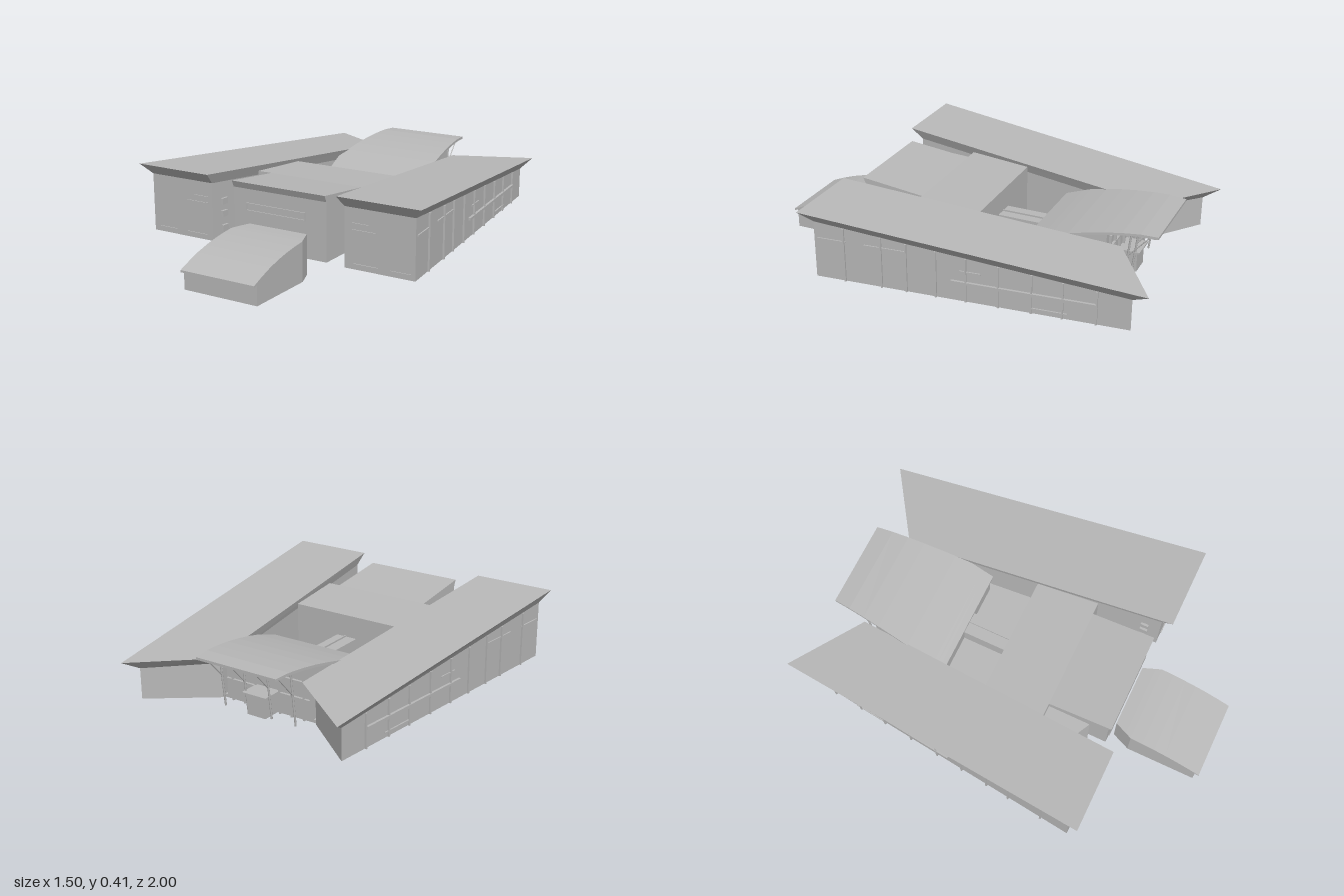
import * as THREE from 'three';
import { mergeGeometries } from 'three/addons/utils/BufferGeometryUtils.js';

const concrete = new THREE.MeshStandardMaterial({ color: 0xb8b8b8 });
concrete.name = 'concreteGrey';

const BASE = 0.07;

// Closed solid between two plan outlines ([x, z] points); heights are numbers or functions of z
function loftGeometry(bottom, top, yBottom, yTop) {
  const at = (y, z) => (typeof y === 'function' ? y(z) : y);
  if (THREE.ShapeUtils.area(top.map(([x, z]) => new THREE.Vector2(x, -z))) < 0) {
    bottom = [...bottom].reverse();
    top = [...top].reverse();
  }
  const b = bottom.map(([x, z]) => [x, at(yBottom, z), z]);
  const t = top.map(([x, z]) => [x, at(yTop, z), z]);
  const pos = [];
  const tri = (...corners) => corners.forEach((c) => pos.push(...c));
  b.forEach((_, i) => {
    const j = (i + 1) % b.length;
    tri(b[i], b[j], t[j]);
    tri(b[i], t[j], t[i]);
  });
  const flat = top.map(([x, z]) => new THREE.Vector2(x, -z));
  for (const [i, j, k] of THREE.ShapeUtils.triangulateShape(flat, [])) {
    tri(t[i], t[j], t[k]);
    tri(b[k], b[j], b[i]);
  }
  const geo = new THREE.BufferGeometry();
  geo.setAttribute('position', new THREE.Float32BufferAttribute(pos, 3));
  geo.computeVertexNormals();
  return geo;
}

// Height along z, smoothly interpolated through [z, y] points
function profile(points) {
  const curve = new THREE.SplineCurve(points.map(([z, y]) => new THREE.Vector2(z, y)));
  const samples = curve.getPoints(80);
  return (z) => {
    let i = 0;
    while (i < samples.length - 2 && samples[i + 1].x < z) i++;
    const a = samples[i], c = samples[i + 1];
    return THREE.MathUtils.lerp(a.y, c.y, THREE.MathUtils.clamp((z - a.x) / (c.x - a.x), 0, 1));
  };
}

// Body cut into strips along z so its top can curve; stations are [z, xLeft, xRight]
function curvedGeometry(stations, yBottom, yTop, cuts = 6) {
  const parts = [];
  for (let s = 0; s < stations.length - 1; s++) {
    const row = (f) => stations[s].map((v, i) => THREE.MathUtils.lerp(v, stations[s + 1][i], f));
    for (let k = 0; k < cuts; k++) {
      const [z0, l0, r0] = row(k / cuts), [z1, l1, r1] = row((k + 1) / cuts);
      const plan = [[l0, z0], [r0, z0], [r1, z1], [l1, z1]];
      parts.push(loftGeometry(plan, plan, yBottom, yTop));
    }
  }
  return mergeGeometries(parts);
}

export function createModel() {
  const model = new THREE.Group();
  model.name = 'building';
  const add = (name, geo, parent = model) => {
    const mesh = new THREE.Mesh(geo, concrete);
    mesh.name = name;
    parent.add(mesh);
    return mesh;
  };
  const box = (name, w, h, d, x, y, z, parent) => {
    const mesh = add(name, new THREE.BoxGeometry(w, h, d), parent);
    mesh.position.set(x, y, z);
    return mesh;
  };
  const post = (name, a, b, r) => {
    const path = new THREE.LineCurve3(new THREE.Vector3(...a), new THREE.Vector3(...b));
    add(name, new THREE.TubeGeometry(path, 1, r, 6));
  };

  // Two long wings, tapering towards the back, with flared sloping roofs
  const roofTop = (z) => 0.3525 + 0.0875 * z;
  const roofBottom = (z) => 0.302 + 0.0887 * z;
  for (const side of [-1, 1]) {
    const wing = new THREE.Group();
    wing.name = side < 0 ? 'rightWing' : 'leftWing';
    model.add(wing);
    const shift = side < 0 ? 0.015 : 0;
    const walls = [[0.7 + shift, 0.545], [0.35 + shift, 0.545], [0.25 + shift, -0.7], [0.55, -0.92]]
      .map(([x, z]) => [side * x, z]);
    const eaves = [[0.75, 0.6], [0.34 + shift * 0.6, 0.6], [0.232 + shift * 0.5, -0.76], [0.585, -1]]
      .map(([x, z]) => [side * x, z]);
    add('wingWalls', loftGeometry(walls, walls, BASE, roofBottom), wing);
    add('wingRoof', loftGeometry(walls, eaves, roofBottom, roofTop), wing);

    // Details that follow the slanted outer wall
    const front = 0.7 + shift, lean = (front - 0.55) / 1.465;
    const onWall = (name, z, length, y, h, t) => {
      const x = front - lean * (0.545 - z);
      const mesh = box(name, t, h, length, side * x, y, z, wing);
      mesh.rotation.y = side * Math.atan(lean);
    };
    for (const z of [0.4, 0.22, 0.1, -0.04, -0.18, -0.33, -0.48, -0.62, -0.77]) {
      const h = roofBottom(z) - BASE;
      onWall('wallFin', z, 0.008, BASE + h / 2, h, 0.018);
    }
    onWall('canopyLedge', -0.44, 0.66, 0.165, 0.012, 0.024);
    onWall('windowFrame', -0.56, 0.17, 0.155, 0.006, 0.014);
    onWall('windowFrame', -0.56, 0.17, 0.095, 0.006, 0.014);
    onWall('windowSill', 0.46, 0.14, 0.27, 0.006, 0.012);
    onWall('windowSill', 0.2, 0.2, 0.27, 0.006, 0.012);
    onWall('windowSill', -0.2, 0.1, 0.22, 0.006, 0.012);

    // Thin window sills on the front wall
    for (const [x, y, w] of [[0.45, 0.25, 0.12], [0.43, 0.28, 0.08], [0.46, 0.095, 0.12], [0.63, 0.095, 0.1]]) {
      box('frontSill', w, 0.005, 0.008, side * x, y, 0.546, wing);
    }
    // Small window ledges on the courtyard wall
    for (const y of [0.12, 0.19, 0.25]) {
      box('innerLedge', 0.012, 0.03, 0.04, side * (0.338 + shift), y, 0.47, wing);
    }
  }

  // Ground slab joining everything
  const slab = [[-0.36, 0.23], [0.33, 0.23], [0.25, -0.69], [-0.27, -0.69]];
  add('groundSlab', loftGeometry(slab, slab, BASE, 0.085));
  const drain = add('drainDrum', new THREE.CylinderGeometry(0.027, 0.027, 0.03, 20));
  drain.position.set(0, 0.058, -0.12);

  // Front hall: box with an overhanging, gently sloping roof
  const hallRoof = profile([[-0.08, 0.33], [0.23, 0.345], [0.545, 0.38]]);
  const hallEaves = (z) => hallRoof(z) - 0.03;
  const upper = [[-0.25, 0.532], [0.25, 0.532], [0.25, 0.23], [-0.25, 0.23]];
  const lower = [[-0.19, 0.532], [0.25, 0.532], [0.25, 0.23], [-0.19, 0.23]];
  add('hallLowerWalls', loftGeometry(lower, lower, BASE, 0.15));
  add('hallUpperWalls', loftGeometry(upper, upper, 0.15, hallEaves));
  const hallEdge = [[-0.25, 0.546], [0.25, 0.546], [0.25, 0.23], [-0.25, 0.23]];
  add('hallRoof', loftGeometry(upper, hallEdge, hallEaves, hallRoof));
  const rearHall = [[-0.325, 0.23], [0.31, 0.23], [0.285, -0.08], [-0.3, -0.08]];
  add('hallRear', loftGeometry(rearHall, rearHall, BASE, hallRoof));
  const link = [[-0.25, 0.44], [-0.345, 0.39], [-0.33, 0.23], [-0.25, 0.23]];
  add('sideLink', loftGeometry(link, link, BASE, 0.31));

  // Long window surround on the hall front
  for (const y of [0.247, 0.281]) box('hallWindowFrame', 0.32, 0.005, 0.01, -0.02, y, 0.533);
  for (const x of [-0.178, 0.138]) box('hallWindowFrame', 0.005, 0.034, 0.01, x, 0.264, 0.533);

  // Low entrance pavilion with a curved roof
  const entryRoof = profile([[0.545, 0.19], [0.63, 0.187], [0.75, 0.172], [0.88, 0.141], [1, 0.095]]);
  const entryPlan = [[0.545, -0.155, 0.155], [0.635, -0.193, 0.19], [0.98, -0.193, 0.19]];
  add('entranceBody', curvedGeometry(entryPlan, 0, (z) => entryRoof(z) - 0.008));
  const roofPlan = [...entryPlan.slice(0, 2), [1, -0.195, 0.19]];
  add('entranceRoof', curvedGeometry(roofPlan, (z) => entryRoof(z) - 0.01, entryRoof));

  // Courtyard bridge between the two halls
  box('bridge', 0.11, 0.08, 0.24, -0.005, 0.18, -0.195);
  box('bridgeRidge', 0.006, 0.012, 0.23, 0, 0.222, -0.195);

  // Rear hall with an upswept curved roof
  const sweep = profile([[-0.92, 0.353], [-0.82, 0.355], [-0.66, 0.337], [-0.48, 0.3], [-0.31, 0.25]]);
  const under = (z) => sweep(z) - 0.012;
  const rearRoof = [[-0.92, -0.222, 0.21], [-0.43, -0.275, 0.262], [-0.31, -0.255, 0.255]];
  add('rearRoof', curvedGeometry(rearRoof, under, sweep));
  add('rearWalls', curvedGeometry([[-0.69, -0.245, 0.235], [-0.33, -0.25, 0.25]], BASE, under));

  // Glazing bars, beams, porch and leaning columns at the back
  for (let i = 0; i < 7; i++) {
    const x = -0.2 + i * 0.066;
    box('glazingBar', 0.008, 0.24, 0.014, x, 0.19, -0.695);
  }
  for (const y of [0.17, 0.25]) box('glazingRail', 0.46, 0.008, 0.014, 0, y, -0.695);
  for (const x of [-0.2, -0.07, 0.06, 0.19]) {
    add('roofBeam', curvedGeometry([[-0.9, x - 0.005, x + 0.005], [-0.69, x - 0.005, x + 0.005]],
      (z) => sweep(z) - 0.024, under));
    post('column', [x, BASE, -0.76], [x, 0.335, -0.79], 0.005);
    post('roofStrut', [x, 0.22, -0.775], [x, 0.338, -0.88], 0.003);
  }
  box('rearPorch', 0.1, 0.1, 0.09, 0, 0.12, -0.735);
  box('porchCanopy', 0.13, 0.008, 0.11, 0, 0.174, -0.74);
  return model;
}
